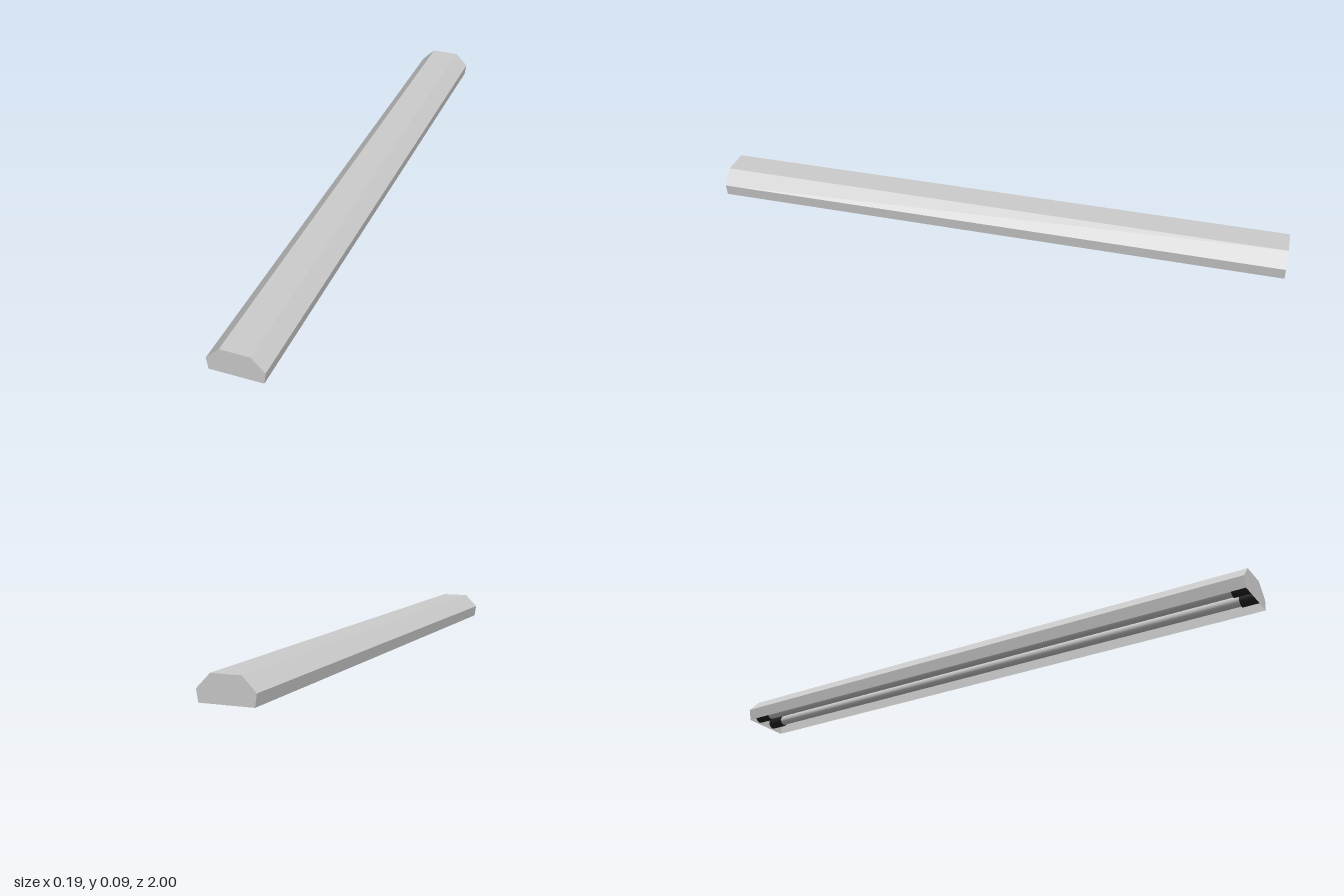
import * as THREE from 'three';

const HALF = 1; // half the fixture length
const PROFILE = [[0.088, 0], [0.094, 0.04], [0.049, 0.086], [-0.049, 0.086], [-0.094, 0.04], [-0.088, 0]];

// open-bottomed sheet: one flat strip for each side of the profile
function shellGeometry() {
  const pos = [];
  for (let i = 0; i < PROFILE.length - 1; i++) {
    const [ax, ay] = PROFILE[i], [bx, by] = PROFILE[i + 1];
    const a = [ax, ay, HALF], b = [bx, by, HALF], c = [bx, by, -HALF], d = [ax, ay, -HALF];
    pos.push(...a, ...d, ...c, ...a, ...c, ...b);
  }
  const geo = new THREE.BufferGeometry();
  geo.setAttribute('position', new THREE.Float32BufferAttribute(pos, 3));
  geo.computeVertexNormals();
  return geo;
}

// cylinder lying along z
function rod(name, radius, length, x, z, material) {
  const geo = new THREE.CylinderGeometry(radius, radius, length, 24).rotateX(Math.PI / 2);
  const mesh = new THREE.Mesh(geo, material);
  mesh.name = name;
  mesh.position.set(x, 0.027, z);
  return mesh;
}

export function createModel() {
  const model = new THREE.Group();
  model.name = 'tubeLight';
  const sheet = new THREE.MeshStandardMaterial({ color: 0xcccccc, side: THREE.DoubleSide });
  const glass = new THREE.MeshStandardMaterial({ color: 0xcccccc });
  const dark = new THREE.MeshStandardMaterial({ color: 0x222222 });

  // housing
  const housing = new THREE.Mesh(shellGeometry(), sheet);
  housing.name = 'housing';
  model.add(housing);

  // end caps
  const capShape = new THREE.Shape(PROFILE.map(([x, y]) => new THREE.Vector2(x, y)));
  for (const s of [1, -1]) {
    const cap = new THREE.Mesh(new THREE.ShapeGeometry(capShape), sheet);
    cap.name = s > 0 ? 'frontCap' : 'backCap';
    cap.position.z = s * HALF;
    if (s < 0) cap.rotation.y = Math.PI;
    model.add(cap);
  }

  // two lamps, each held by a socket at both ends
  const socketLength = 0.058;
  for (const x of [0.037, -0.037]) {
    const side = x > 0 ? 'left' : 'right';
    model.add(rod(side + 'Lamp', 0.017, 2 * (HALF - socketLength), x, 0, glass));
    for (const s of [1, -1]) {
      const end = s > 0 ? 'Front' : 'Back';
      model.add(rod(side + end + 'Socket', 0.021, socketLength, x, s * (HALF - socketLength / 2 - 0.001), dark));
    }
  }
  return model;
}
